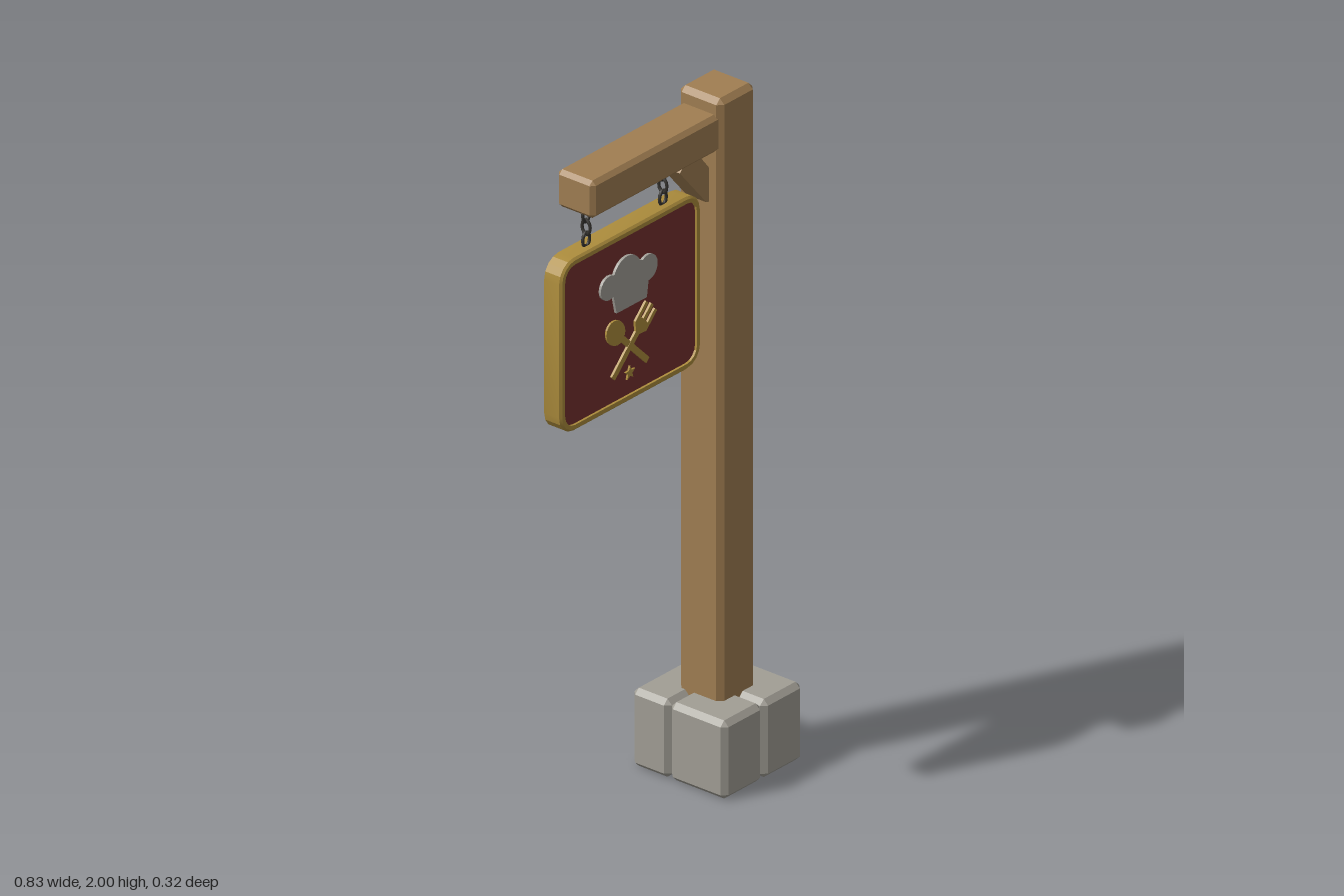
import * as THREE from 'three';
import { ConvexGeometry } from 'three/addons/geometries/ConvexGeometry.js';
import { toCreasedNormals } from 'three/addons/utils/BufferGeometryUtils.js';

const flat = (name, color) => {
  const m = new THREE.MeshStandardMaterial({ color });
  m.name = name;
  return m;
};

export function createModel() {
  const model = new THREE.Group();
  model.name = 'hangingSign';
  const wood = flat('wood', 0xa07e52);
  const stone = flat('stone', 0xa19e95);
  const red = flat('redPaint', 0x74312e);
  const gold = flat('gold', 0xac8c3c);
  const iron = flat('darkIron', 0x35332f);
  const cloth = flat('greyCloth', 0xa19e97);

  const add = (name, geometry, material, parent = model) => {
    const mesh = new THREE.Mesh(geometry, material);
    mesh.name = name;
    parent.add(mesh);
    return mesh;
  };

  // Box between two corners with every edge chamfered
  const chamferBox = (name, min, max, c, material) => {
    const points = [];
    for (const x of [0, 1]) for (const y of [0, 1]) for (const z of [0, 1]) {
      const side = [x, y, z];
      for (let face = 0; face < 3; face++) {
        const p = side.map((s, i) => {
          const inset = i === face ? 0 : c;
          return s ? max[i] - inset : min[i] + inset;
        });
        points.push(new THREE.Vector3(...p));
      }
    }
    return add(name, new ConvexGeometry(points), material);
  };

  // Post, arm and footing stones
  chamferBox('post', [0.18, 0.02, -0.075], [0.326, 2, 0.073], 0.015, wood);
  chamferBox('arm', [-0.326, 1.845, -0.065], [0.2, 1.955, 0.062], 0.012, wood);
  chamferBox('backStone', [0.094, 0, -0.162], [0.414, 0.23, -0.034], 0.015, stone);
  chamferBox('frontRightStone', [0.094, 0, -0.033], [0.252, 0.23, 0.16], 0.015, stone);
  chamferBox('frontLeftStone', [0.255, 0, -0.033], [0.414, 0.23, 0.16], 0.015, stone);

  // Extrude a shape from z0 to z1
  const plate = (name, shape, z0, z1, material, parent) => {
    const geometry = new THREE.ExtrudeGeometry(shape, { depth: z1 - z0, bevelEnabled: false, curveSegments: 8 });
    geometry.translate(0, 0, z0);
    return add(name, geometry, material, parent);
  };
  const polygon = (points) => new THREE.Shape(points.map(([x, y]) => new THREE.Vector2(x, y)));

  // Diagonal brace between arm and post
  plate('brace', polygon([
    [0.062, 1.822], [0.17, 1.695], [0.195, 1.69], [0.195, 1.775], [0.135, 1.85], [0.09, 1.85],
  ]), -0.035, 0.033, wood);

  // Chains of three interlocking links
  for (const x of [-0.28, 0.032]) {
    const chain = new THREE.Group();
    chain.name = 'chain';
    chain.position.x = x;
    model.add(chain);
    for (let i = 0; i < 3; i++) {
      const link = add('chainLink', new THREE.TorusGeometry(0.014, 0.0045, 6, 12), iron, chain);
      link.scale.y = 1.45;
      link.position.y = 1.826 - i * 0.037;
      link.rotation.y = i === 1 ? Math.PI / 2 : 0;
    }
  }

  // Sign board, drawn around its own centre
  const sign = new THREE.Group();
  sign.name = 'sign';
  sign.position.set(-0.129, 1.481, 0);
  model.add(sign);
  const halfW = 0.286, halfH = 0.254, radius = 0.058;
  const outline = (inset) => {
    const points = [];
    const corners = [[1, 1], [-1, 1], [-1, -1], [1, -1]];
    corners.forEach(([sx, sy], k) => {
      for (let i = 0; i <= 4; i++) {
        const a = (k + i / 4) * Math.PI / 2;
        points.push([
          sx * (halfW - radius) + Math.cos(a) * (radius - inset),
          sy * (halfH - radius) + Math.sin(a) * (radius - inset),
        ]);
      }
    });
    return points;
  };

  // Frame: a closed section of [inset, z] swept around the rounded outline
  const section = [[0, -0.03], [0, 0.021], [0.006, 0.027], [0.018, 0.027], [0.018, -0.03]];
  const rings = section.map(([inset, z]) => outline(inset).map(([x, y]) => [x, y, z]));
  const count = rings[0].length;
  const corners = [];
  rings.forEach((ring, r) => {
    const next = rings[(r + 1) % rings.length];
    for (let i = 0; i < count; i++) {
      const j = (i + 1) % count;
      corners.push(ring[i], ring[j], next[j], ring[i], next[j], next[i]);
    }
  });
  const frame = new THREE.BufferGeometry();
  frame.setAttribute('position', new THREE.Float32BufferAttribute(corners.flat(), 3));
  add('signFrame', toCreasedNormals(frame, 0.3), gold, sign);
  plate('signPanel', polygon(outline(0.017)), -0.026, 0.02, red, sign);

  // Cook's hat: band with three puffs
  const hat = new THREE.Shape();
  hat.moveTo(-0.06, 0.026);
  hat.lineTo(0.063, 0.026);
  hat.lineTo(0.07, 0.073);
  hat.absarc(0.069, 0.111, 0.038, -1.4, 2.2);
  hat.absarc(-0.016, 0.121, 0.057, 0.45, 2.75);
  hat.absarc(-0.089, 0.112, 0.035, 1.1, 5.2);
  plate('cookHat', hat, 0.019, 0.028, cloth, sign);

  // Crossed spoon and fork
  const spoon = new THREE.Shape();
  spoon.moveTo(-0.009, -0.1);
  spoon.lineTo(0.009, -0.1);
  spoon.lineTo(0.009, 0.046);
  spoon.absellipse(0, 0.084, 0.034, 0.042, -1.2, Math.PI + 1.2);
  spoon.lineTo(-0.009, 0.046);
  const fork = polygon([
    [-0.009, -0.1], [0.009, -0.1], [0.009, 0.038], [0.031, 0.058], [0.031, 0.12], [0.019, 0.12],
    [0.019, 0.078], [0.006, 0.078], [0.006, 0.125], [-0.006, 0.125], [-0.006, 0.078],
    [-0.019, 0.078], [-0.019, 0.12], [-0.031, 0.12], [-0.031, 0.058], [-0.009, 0.038],
  ]);
  [['spoon', spoon, 1, 0.026], ['fork', fork, -1, 0.027]].forEach(([name, shape, turn, front]) => {
    const piece = plate(name, shape, 0.019, front, gold, sign);
    piece.position.set(-0.001, -0.092, 0);
    piece.rotation.z = turn * Math.PI / 4;
  });

  // Small star under the cutlery
  const star = polygon(Array.from({ length: 10 }, (_, i) => {
    const a = Math.PI / 2 + i * Math.PI / 5;
    const r = i % 2 ? 0.009 : 0.021;
    return [r * Math.cos(a) - 0.002, r * Math.sin(a) - 0.172];
  }));
  plate('star', star, 0.019, 0.026, gold, sign);

  return model;
}
